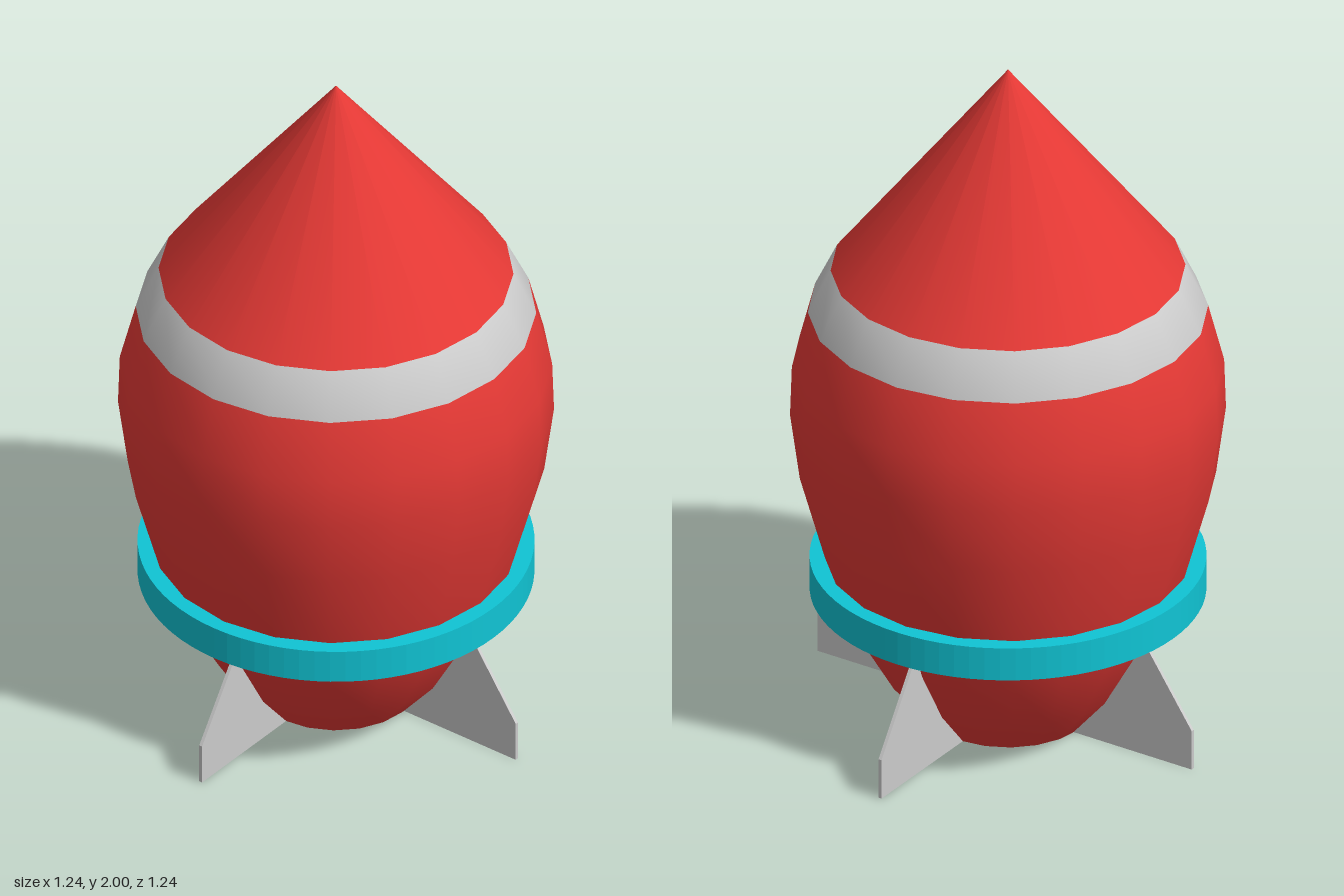
import * as THREE from 'three';

const SIDES = 20;
const CENTRE_X = -0.012;

// Body profile: [radius, height] from tail to tip
const PROFILE = [
  [0.232, 0], [0.335, 0.12], [0.433, 0.29], [0.5, 0.46], [0.575, 0.73],
  [0.602, 0.93], [0.597, 1.08], [0.553, 1.25], [0.49, 1.38], [0, 2],
].map(([r, y]) => new THREE.Vector2(r, y));

// A horizontal slice of the hull that keeps the whole hull's smooth normals
function hullSlice(from, to) {
  const geometry = new THREE.LatheGeometry(PROFILE, SIDES);
  const n = PROFILE.length;
  const index = [];
  for (let i = 0; i < SIDES; i++) {
    for (let j = from; j < to; j++) {
      const a = i * n + j, b = a + n;
      index.push(a, b, a + 1, b + 1, a + 1, b);
    }
  }
  geometry.setIndex(index);
  return geometry;
}

export function createModel() {
  const model = new THREE.Group();
  model.name = 'rocket';
  const red = new THREE.MeshStandardMaterial({ color: 0xe53935 });
  const teal = new THREE.MeshStandardMaterial({ color: 0x10c4d4 });
  const grey = new THREE.MeshStandardMaterial({ color: 0xcccccc });

  const add = (name, geometry, material, parent = model) => {
    const mesh = new THREE.Mesh(geometry, material);
    mesh.name = name;
    parent.add(mesh);
    return mesh;
  };

  // Hull: body, pale stripe, nose cone and flat base
  const hull = new THREE.Group();
  hull.name = 'hull';
  hull.position.x = CENTRE_X;
  model.add(hull);
  add('body', hullSlice(0, 7), red, hull);
  add('stripe', hullSlice(7, 8), grey, hull);
  add('noseCone', hullSlice(8, 9), red, hull);
  const base = new THREE.CircleGeometry(PROFILE[0].x, SIDES).rotateX(Math.PI / 2);
  add('base', base, red, hull);

  // Collar: flat-topped band around the lower body
  const collarShape = new THREE.Shape().absarc(0, 0, 0.548, 0, Math.PI * 2);
  collarShape.holes.push(new THREE.Path().absarc(0, 0, 0.43, 0, Math.PI * 2, true));
  const collar = new THREE.ExtrudeGeometry(collarShape, {
    depth: 0.1, bevelEnabled: false, curveSegments: 40,
  }).rotateX(-Math.PI / 2).translate(0, 0.38, 0);
  add('collar', collar, teal, hull);

  // Four thin fins
  const finShape = new THREE.Shape([
    [0.2, 0], [0.622, 0], [0.622, 0.12], [0.44, 0.385], [0.36, 0.385],
  ].map(([x, y]) => new THREE.Vector2(x, y)));
  const finGeometry = new THREE.ExtrudeGeometry(finShape, { depth: 0.01, bevelEnabled: false })
    .translate(0, 0, -0.005);
  ['leftFin', 'backFin', 'rightFin', 'frontFin'].forEach((name, i) => {
    add(name, finGeometry, grey).rotation.y = i * Math.PI / 2;
  });

  return model;
}
